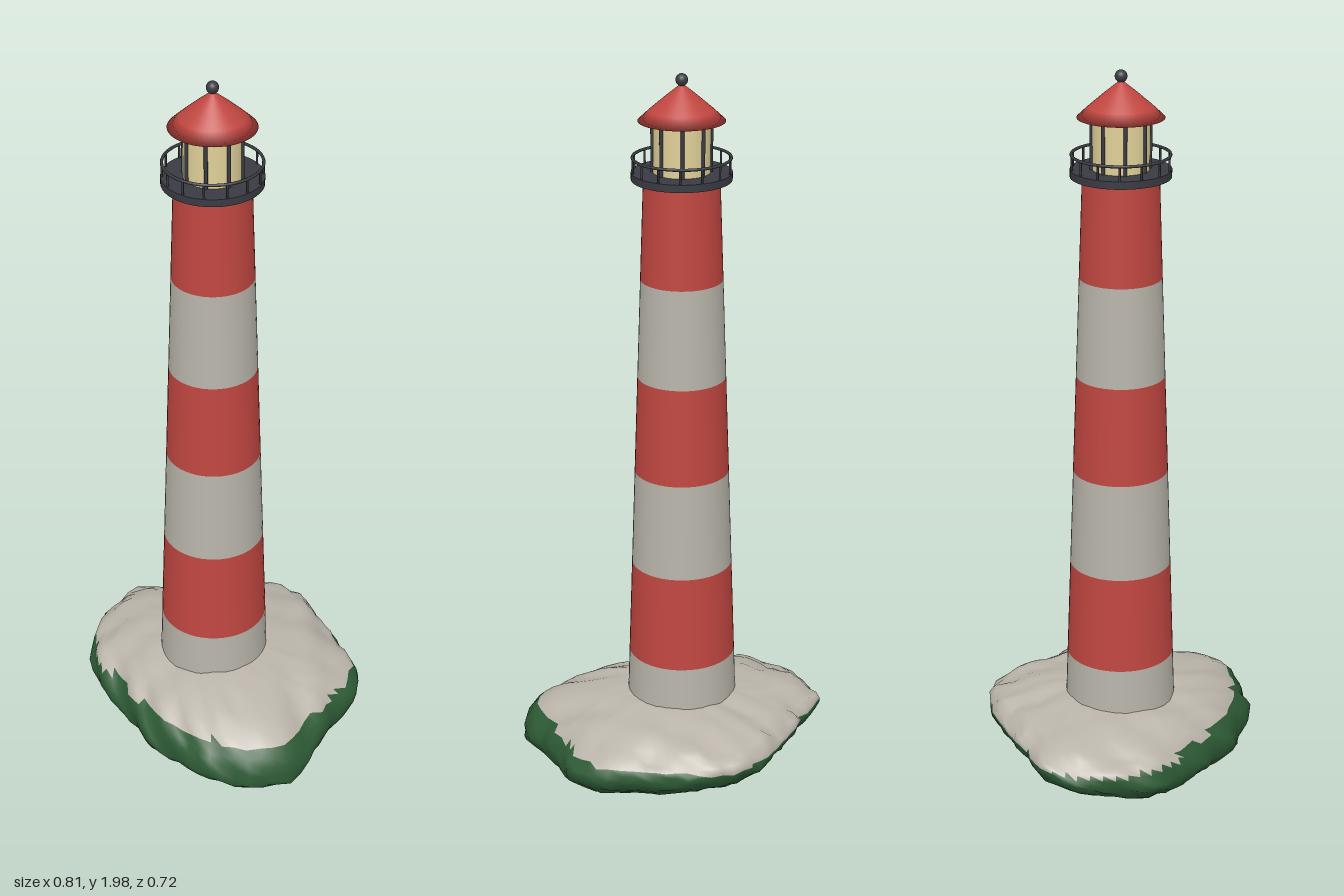
import * as THREE from 'three';

const mat = (name, color, side = THREE.FrontSide) => {
  const m = new THREE.MeshStandardMaterial({ color, side });
  m.name = name;
  return m;
};

// Island outline: radius every 15 degrees, from +x towards +z
const OUTLINE = [0.375, 0.4, 0.455, 0.435, 0.4, 0.36, 0.345, 0.32, 0.33, 0.355, 0.385, 0.39,
  0.41, 0.395, 0.34, 0.33, 0.33, 0.355, 0.36, 0.35, 0.345, 0.35, 0.385, 0.395];

function outlineRadius(f) {
  const n = OUTLINE.length, p = f * n, i = Math.floor(p);
  return THREE.MathUtils.lerp(OUTLINE[i % n], OUTLINE[(i + 1) % n], p - i);
}

// Craggy, tilted boulder; group 0 is bare stone, group 1 is the overgrown lower part
function islandGeometry() {
  let seed = 7;
  const rnd = () => {
    seed = (seed * 16807) % 2147483647;
    return seed / 2147483647 - 0.5;
  };
  const rows = 26, cols = 72, pos = [], stone = [], moss = [];
  for (let i = 0; i <= rows; i++) {
    const phi = (i / rows) * Math.PI;
    const s = i === rows ? 0 : Math.sin(phi), c = Math.cos(phi);
    for (let j = 0; j < cols; j++) {
      const a = (j / cols) * Math.PI * 2;
      const r = outlineRadius(j / cols) * Math.pow(s, 0.9);
      let x = r * Math.cos(a), z = r * Math.sin(a);
      const mid = 0.15 - 0.06 * x - 0.1 * z;
      let y = mid + c * (c > 0 ? 0.272 - mid : 0.112);
      const bump = s * (Math.sin(x * 31 + y * 22) * Math.sin(z * 27 + y * 35 + 1)
        + 0.6 * Math.sin(x * 58 - z * 44 + y * 40));
      const k = 1 + 0.014 * bump + 0.015 * s * rnd();
      x *= k;
      z *= k;
      y = Math.max(0.004, y + 0.007 * bump + 0.008 * s * rnd());
      pos.push(x, y, z);
    }
  }
  for (let i = 0; i < rows; i++) {
    for (let j = 0; j < cols; j++) {
      const a = i * cols + j, c = i * cols + (j + 1) % cols;
      const b = a + cols, d = c + cols;
      for (const tri of [[a, c, b], [c, d, b]]) {
        const height = tri.reduce((sum, v) => sum + pos[v * 3 + 1], 0) / 3;
        (height > 0.188 && i < rows / 2 ? stone : moss).push(...tri);
      }
    }
  }
  const g = new THREE.BufferGeometry();
  g.setAttribute('position', new THREE.Float32BufferAttribute(pos, 3));
  g.setIndex([...stone, ...moss]);
  g.addGroup(0, stone.length, 0);
  g.addGroup(stone.length, moss.length, 1);
  g.computeVertexNormals();
  return g;
}

export function createModel() {
  const root = new THREE.Group();
  root.name = 'lighthouse';
  const red = mat('red paint', 0xc04640);
  const white = mat('white paint', 0xb8b4aa);
  const stone = mat('stone', 0xbab4aa);
  const moss = mat('moss', 0x2d5a35);
  const iron = mat('dark iron', 0x3a3b42);
  const glass = mat('lamp glass', 0xe0d098);

  const add = (parent, name, geometry, material, x = 0, y = 0, z = 0) => {
    const m = new THREE.Mesh(geometry, material);
    m.name = name;
    m.position.set(x, y, z);
    parent.add(m);
    return m;
  };

  add(root, 'island', islandGeometry(), [stone, moss]);

  const tower = new THREE.Group();
  tower.name = 'tower';
  tower.position.set(-0.015, 0, 0.02);
  root.add(tower);

  // Tapered shaft in alternating bands
  const y0 = 0.117, step = 0.269;
  const radiusAt = (y) => 0.155 - (y - y0) * 0.0347;
  for (let i = 0; i < 6; i++) {
    const lo = y0 + i * step, hi = lo + step;
    add(tower, 'shaftBand', new THREE.CylinderGeometry(radiusAt(hi), radiusAt(lo), step, 48),
      i % 2 ? red : white, 0, (lo + hi) / 2, 0);
  }

  // Gallery deck and railing
  add(tower, 'galleryDeck', new THREE.CylinderGeometry(0.13, 0.13, 0.02, 48), iron, 0, 1.738, 0);
  const rail = add(tower, 'handrail', new THREE.TorusGeometry(0.126, 0.004, 8, 48), iron, 0, 1.785, 0);
  rail.rotation.x = Math.PI / 2;
  const ringOf = (count, radius, name, geometry, y) => {
    for (let i = 0; i < count; i++) {
      const a = ((i + 0.5) / count) * Math.PI * 2;
      add(tower, name, geometry, iron, Math.cos(a) * radius, y, Math.sin(a) * radius);
    }
  };
  ringOf(14, 0.126, 'railingPost', new THREE.CylinderGeometry(0.003, 0.003, 0.04, 6), 1.766);

  // Lantern room
  add(tower, 'lanternGlass', new THREE.CylinderGeometry(0.074, 0.074, 0.14, 32), glass, 0, 1.815, 0);
  ringOf(8, 0.075, 'glazingBar', new THREE.CylinderGeometry(0.005, 0.005, 0.14, 8), 1.815);

  // Roof and finial
  const profile = [[0, 1.88], [0.112, 1.88], [0.083, 1.907], [0.04, 1.944], [0, 1.976]];
  add(tower, 'roof', new THREE.LatheGeometry(profile.map(([x, y]) => new THREE.Vector2(x, y)), 48), red);
  add(tower, 'finial', new THREE.SphereGeometry(0.016, 20, 14), iron, 0, 1.984, 0);

  return root;
}
